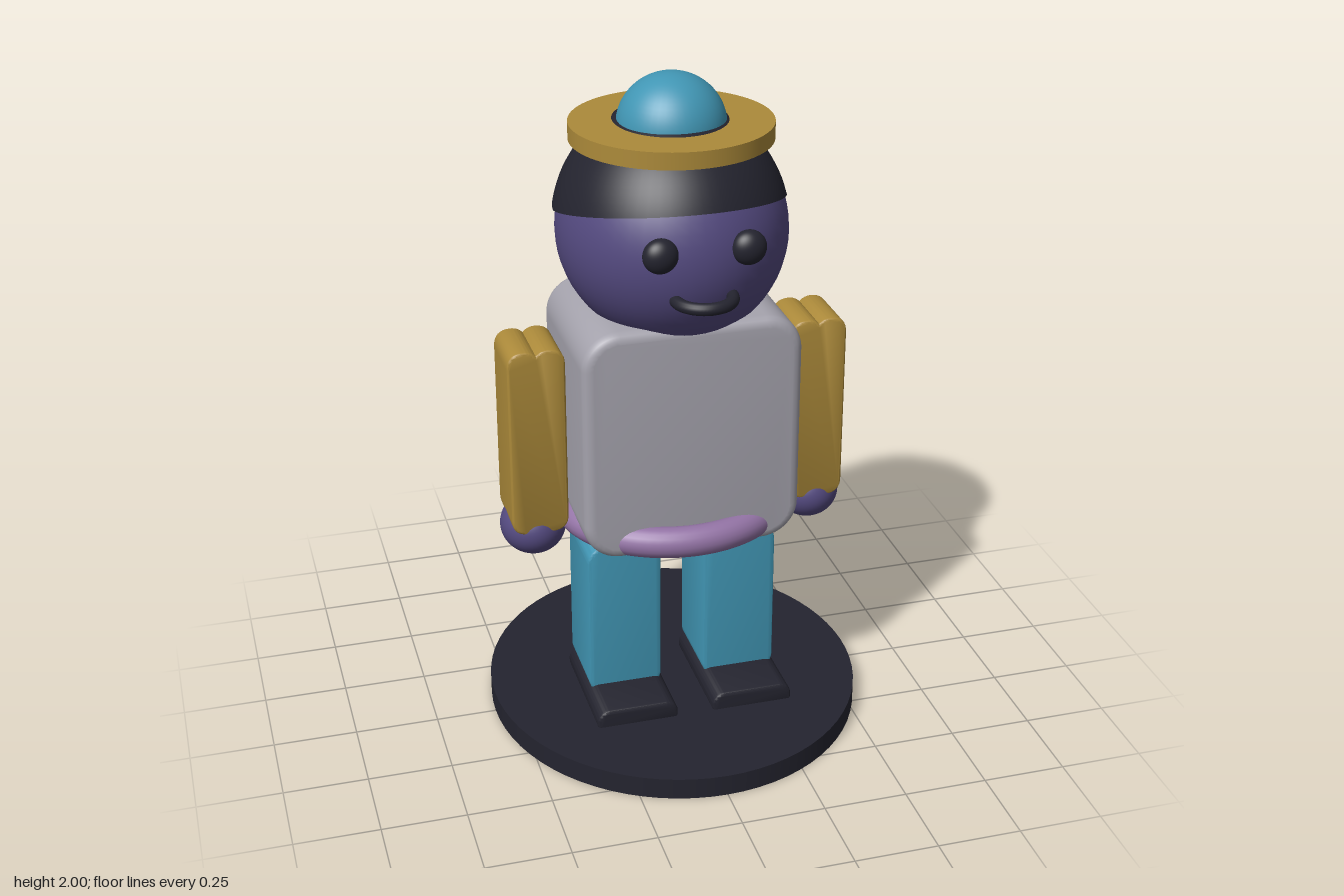
import * as THREE from 'three';
import { toCreasedNormals } from 'three/addons/utils/BufferGeometryUtils.js';

const mat = (name, color) => new THREE.MeshStandardMaterial({ name, color });

export function createModel() {
  const group = new THREE.Group();
  const M = {
    black: mat('charcoal', 0x24242f),
    skin: mat('violet', 0x544a80),
    gold: mat('gold', 0xac8a3a),
    teal: mat('teal', 0x4196b4),
    grey: mat('grey', 0xa5a3ad),
    lilac: mat('lilac', 0x9474a6),
  };
  M.hair = M.black.clone();
  M.hair.name = 'hair charcoal';
  M.hair.side = THREE.DoubleSide;

  function add(name, geo, material, x = 0, y = 0, z = 0) {
    const mesh = new THREE.Mesh(geo, material);
    mesh.name = name;
    mesh.position.set(x, y, z);
    group.add(mesh);
    return mesh;
  }
  const ball = (rx, ry, rz) => new THREE.SphereGeometry(1, 48, 32).scale(rx, ry, rz);

  // Rounded outline in the front plane, centred on the origin
  function roundedRect(w, h, r) {
    const s = new THREE.Shape(), a = w / 2, b = h / 2;
    s.absarc(a - r, b - r, r, 0, Math.PI / 2);
    s.absarc(-a + r, b - r, r, Math.PI / 2, Math.PI);
    s.absarc(-a + r, -b + r, r, Math.PI, Math.PI * 1.5);
    s.absarc(a - r, -b + r, r, Math.PI * 1.5, Math.PI * 2);
    s.closePath();
    return s;
  }
  // Outline pulled along z with a small rounded rim
  function slab(shape, depth, bevel) {
    const geo = new THREE.ExtrudeGeometry(shape, {
      depth: depth - 2 * bevel, bevelEnabled: true, bevelThickness: bevel,
      bevelSize: bevel, bevelOffset: -bevel, bevelSegments: 4, curveSegments: 8,
    });
    geo.translate(0, 0, -depth / 2 + bevel);
    return toCreasedNormals(geo, 0.6);
  }

  // Oval base
  add('base', new THREE.CylinderGeometry(1, 1, 0.066, 72).scale(0.567, 1, 0.61), M.black, 0, 0.033, 0);

  // Torso and belt
  add('torso', slab(roundedRect(0.65, 0.715, 0.11), 0.49, 0.03), M.grey, 0, 0.978, 0);
  const belt = new THREE.TorusGeometry(0.29, 0.047, 20, 72).rotateX(Math.PI / 2).scale(1.06, 1, 0.943);
  add('belt', belt, M.lilac, 0, 0.668, 0);

  // Arm outline with a shallow groove between two rounded humps at each end
  const arm = new THREE.Shape();
  const a = 0.085, h = 0.293, r = 0.05;
  arm.moveTo(a, -h + r);
  arm.lineTo(a, h - r);
  arm.quadraticCurveTo(a, h, a - r, h);
  arm.quadraticCurveTo(0.015, h, 0, h - 0.015);
  arm.quadraticCurveTo(-0.015, h, -a + r, h);
  arm.quadraticCurveTo(-a, h, -a, h - r);
  arm.lineTo(-a, -h + r);
  arm.quadraticCurveTo(-a, -h, -a + r, -h);
  arm.lineTo(a - r, -h);
  arm.quadraticCurveTo(a, -h, a, -h + r);

  // Limbs, mirrored
  for (const side of [1, -1]) {
    const n = side > 0 ? 'left' : 'right';
    add(n + 'Arm', slab(arm, 0.192, 0.008), M.gold, side * 0.425, 0.952, 0);
    add(n + 'Hand', ball(0.098, 0.09, 0.106), M.skin, side * 0.43, 0.648, 0);
    add(n + 'Leg', slab(roundedRect(0.225, 0.52, 0.055), 0.25, 0.01), M.teal, side * 0.18, 0.34, 0);
    add(n + 'Shoe', slab(roundedRect(0.25, 0.085, 0.04), 0.39, 0.01), M.black, side * 0.18, 0.078, 0.08);
    add(n + 'Eye', ball(0.05, 0.05, 0.038), M.black, side * 0.125, 1.595, 0.335);
  }

  // Head and mouth
  add('head', ball(0.333, 0.33, 0.356), M.skin, 0, 1.55, 0);
  const mouth = new THREE.TorusGeometry(0.08, 0.018, 14, 32, Math.PI).rotateX(Math.PI / 2);
  add('mouth', mouth, M.black, 0, 1.457, 0.33);
  for (const x of [-0.08, 0.08]) add('mouthEnd', ball(0.018, 0.018, 0.018), M.black, x, 1.457, 0.33);

  // Hair: a cap whose lower edge is level behind and rises to the front
  const R = [0.34, 0.36, 0.368], zOff = -0.012;
  const hair = new THREE.SphereGeometry(1, 64, 20, 0, Math.PI * 2, 0, Math.PI / 2);
  const pos = hair.attributes.position, nor = hair.attributes.normal, v = new THREE.Vector3();
  const uv = hair.attributes.uv;
  for (let i = 0; i < pos.count; i++) {
    const phi = uv.getX(i) * Math.PI * 2;
    let edge = Math.PI / 2;
    for (let k = 0; k < 8; k++) {
      const z = Math.sin(phi) * Math.sin(edge) * R[2] + zOff;
      edge = Math.acos((0.06 + Math.max(0, z + 0.05) * 0.235) / R[1]);
    }
    const t = (1 - uv.getY(i)) * edge;
    v.set(-Math.cos(phi) * Math.sin(t), Math.cos(t), Math.sin(phi) * Math.sin(t));
    pos.setXYZ(i, v.x * R[0], v.y * R[1], v.z * R[2]);
    v.set(v.x / R[0], v.y / R[1], v.z / R[2]).normalize();
    nor.setXYZ(i, v.x, v.y, v.z);
  }
  add('hair', hair, M.hair, 0, 1.55, zOff);

  // Hat
  add('hatBrim', new THREE.CylinderGeometry(0.291, 0.291, 0.05, 72), M.gold, 0, 1.84, 0);
  add('hatDome', ball(0.157, 0.152, 0.157), M.teal, 0, 1.848, 0);

  return group;
}
